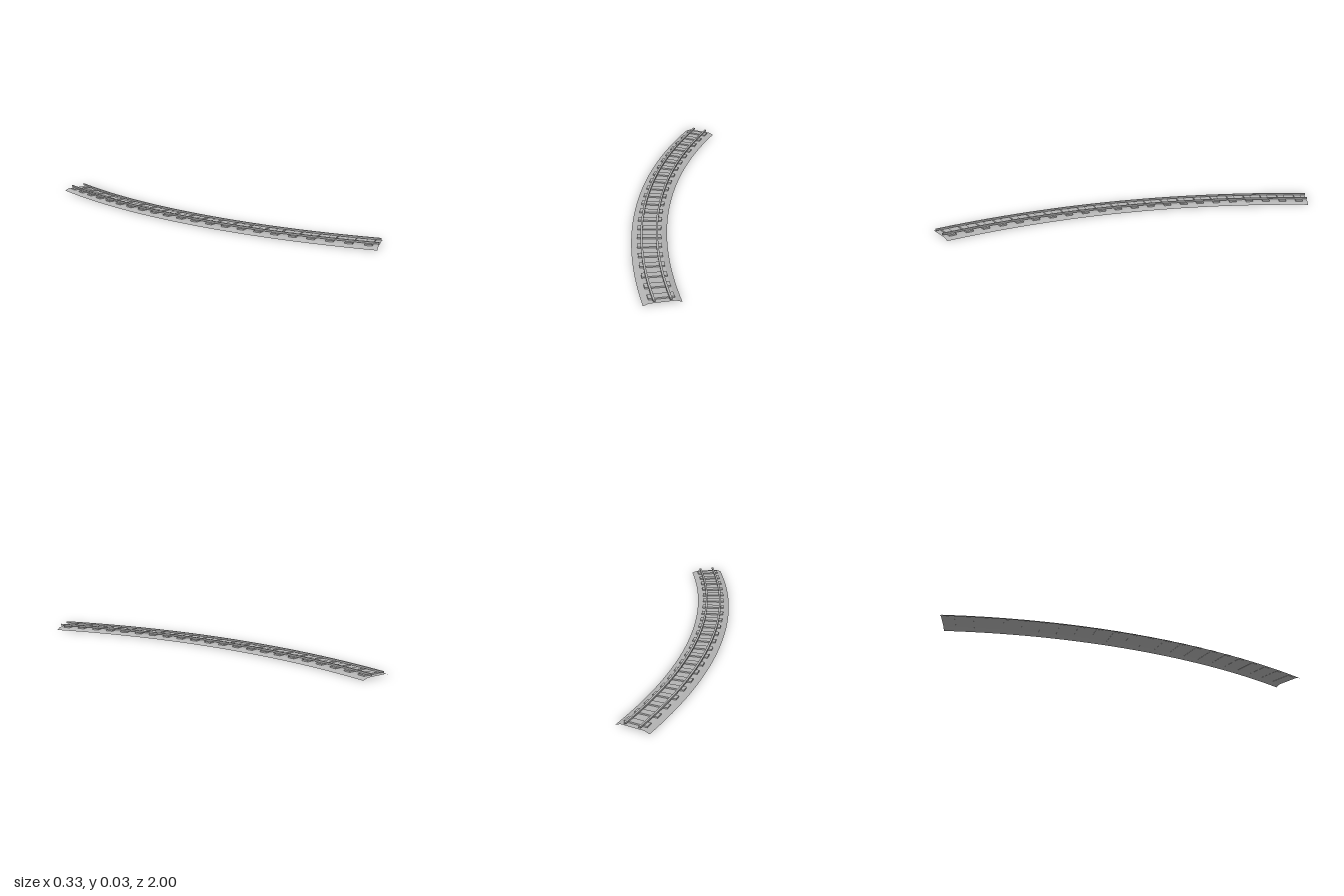
import * as THREE from 'three';

// Curved track: an arc about a centre on the +x side
const HALF_ANGLE = THREE.MathUtils.degToRad(18.5);
const OUTER_RADIUS = 1 / Math.sin(HALF_ANGLE);
const CENTRE_X = OUTER_RADIUS - 0.163;
const BED_WIDTH = 0.172;
const SEGMENTS = 40;
const SLEEPERS = 22;

// Point at angle a, distance d in from the outer edge, height y
function arcPoint(a, d, y) {
  const r = OUTER_RADIUS - d;
  return [CENTRE_X - r * Math.cos(a), y, r * Math.sin(a)];
}

// Sweep a [d, y] profile along the arc, optionally closing a four-corner profile with end caps
function sweep(profile, capped) {
  const positions = [];
  const triangle = (...points) => points.forEach((p) => positions.push(...p));
  for (let i = 0; i < SEGMENTS; i++) {
    const a0 = HALF_ANGLE * ((2 * i) / SEGMENTS - 1);
    const a1 = HALF_ANGLE * ((2 * (i + 1)) / SEGMENTS - 1);
    for (let j = 0; j < profile.length - 1; j++) {
      const p = arcPoint(a0, ...profile[j]);
      const q = arcPoint(a1, ...profile[j]);
      const r = arcPoint(a1, ...profile[j + 1]);
      const s = arcPoint(a0, ...profile[j + 1]);
      triangle(p, q, r);
      triangle(p, r, s);
    }
  }
  if (capped) {
    const [a, b, c, d] = profile.slice(0, 4).map((p) => arcPoint(-HALF_ANGLE, ...p));
    triangle(a, b, c);
    triangle(a, c, d);
    const [e, f, g, h] = profile.slice(0, 4).map((p) => arcPoint(HALF_ANGLE, ...p));
    triangle(e, g, f);
    triangle(e, h, g);
  }
  const geometry = new THREE.BufferGeometry();
  geometry.setAttribute('position', new THREE.Float32BufferAttribute(positions, 3));
  geometry.computeVertexNormals();
  return geometry;
}

export function createModel() {
  const group = new THREE.Group();
  group.name = 'curvedTrack';
  const grey = new THREE.MeshStandardMaterial({ color: 0xb4b4b4, side: THREE.DoubleSide });
  grey.name = 'grey';

  const add = (name, geometry) => {
    const mesh = new THREE.Mesh(geometry, grey);
    mesh.name = name;
    group.add(mesh);
    return mesh;
  };

  // Ballast bed: open shell with sloping banks
  const bank = 0.027;
  add('ballastBed', sweep([[0, 0], [bank, 0.01], [BED_WIDTH - bank, 0.01], [BED_WIDTH, 0]], false));

  // Two rails resting on the sleepers
  const rail = (name, d) => {
    const e = d + 0.01;
    add(name, sweep([[d, 0.017], [d, 0.025], [e, 0.025], [e, 0.017], [d, 0.017]], true));
  };
  rail('outerRail', 0.044);
  rail('innerRail', BED_WIDTH - 0.054);

  // Sleepers, evenly spaced and turned with the curve
  const sleeperGeometry = new THREE.BoxGeometry(BED_WIDTH - 2 * bank - 0.002, 0.008, 0.036);
  for (let i = 0; i < SLEEPERS; i++) {
    const a = HALF_ANGLE * ((2 * (i + 0.5)) / SLEEPERS - 1);
    const sleeper = add('sleeper', sleeperGeometry);
    sleeper.position.set(...arcPoint(a, BED_WIDTH / 2, 0.013));
    sleeper.rotation.y = a;
  }
  return group;
}
